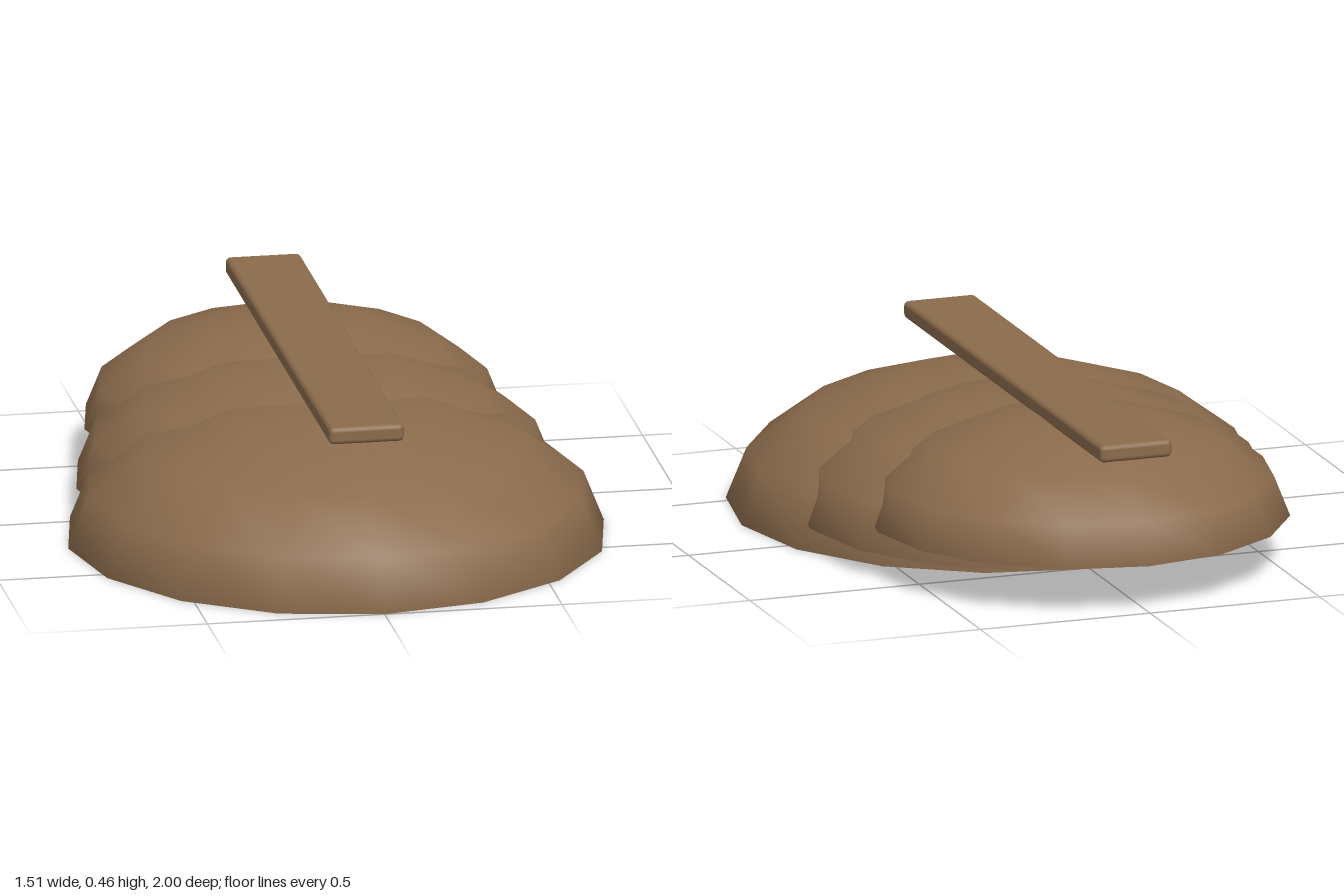
import * as THREE from 'three';
import { RoundedBoxGeometry } from 'three/addons/geometries/RoundedBoxGeometry.js';

export function createModel() {
  const model = new THREE.Group();
  model.name = 'layeredShell';

  const brown = new THREE.MeshStandardMaterial({ color: 0x8b6b4c });
  brown.name = 'brown';

  // Three overlapping half-domes, each smaller, higher and further back
  const segments = 16;
  for (let i = 0; i < 3; i++) {
    const radius = 0.755 - 0.0825 * i;
    const plate = new THREE.Group();
    plate.name = 'shellPlate' + (i + 1);
    plate.position.set(0, 0.0675 * i, 0.245 - 0.3275 * i);

    const domeGeometry = new THREE.SphereGeometry(radius, segments, 4, 0, Math.PI * 2, 0, Math.PI / 2);
    domeGeometry.scale(1, 0.5, 1);
    const dome = new THREE.Mesh(domeGeometry, brown);
    dome.name = 'dome';

    // Flat underside
    const baseGeometry = new THREE.CircleGeometry(radius, segments);
    baseGeometry.rotateX(Math.PI / 2);
    const base = new THREE.Mesh(baseGeometry, brown);
    base.name = 'underside';

    plate.add(dome, base);
    model.add(plate);
  }

  // Long ridge bar lying along the top
  const ridge = new THREE.Mesh(new RoundedBoxGeometry(0.212, 0.05, 1.62, 2, 0.014), brown);
  ridge.name = 'ridgeBar';
  ridge.position.set(0, 0.436, -0.083);
  model.add(ridge);

  return model;
}
